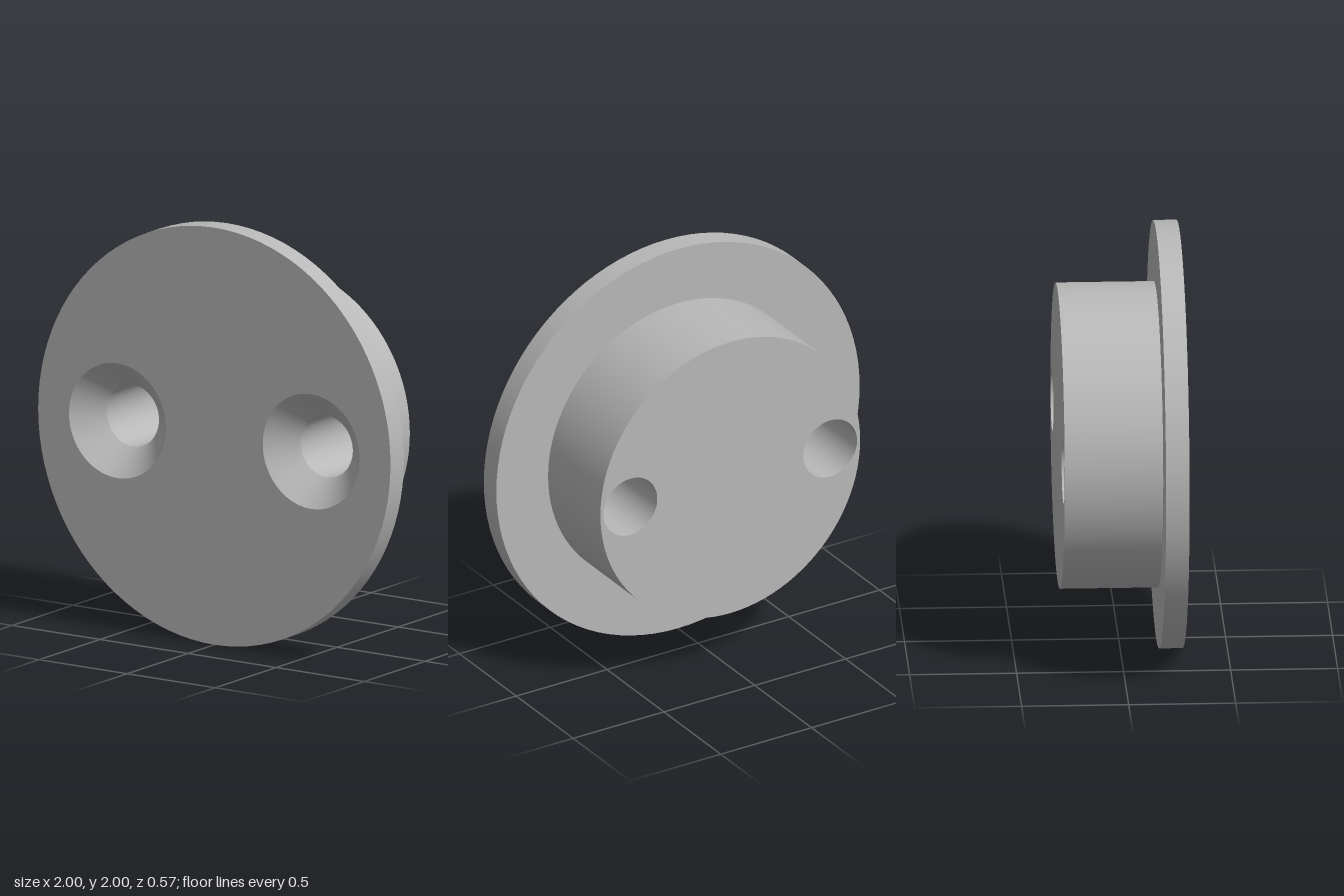
import * as THREE from 'three';

const SEG = 96;
const FRONT = 0.285, STEP = 0.175, BACK = -0.285; // z levels
const FLANGE_R = 1, BOSS_R = 0.715;
const HOLE_X = 0.55, BORE_R = 0.148, SINK_R = 0.275;
const SINK_END = FRONT - (SINK_R - BORE_R); // 90 degree countersink

export function createModel() {
  const group = new THREE.Group();
  const metal = new THREE.MeshStandardMaterial({ color: 0xb8b8b8 });
  metal.name = 'grey metal';

  const add = (name, geometry, x = 0, z = 0) => {
    const mesh = new THREE.Mesh(geometry, metal);
    mesh.name = name;
    mesh.position.set(x, 1, z);
    group.add(mesh);
  };

  // Band of revolution about z from [r0, z0] to [r1, z1]; rising z faces outward
  const band = (name, r0, z0, r1, z1, x = 0) => {
    const points = [new THREE.Vector2(r0, z0), new THREE.Vector2(r1, z1)];
    add(name, new THREE.LatheGeometry(points, SEG).rotateX(Math.PI / 2), x);
  };

  // Flat disc facing +z with the two screw openings
  const disc = (radius, holeRadius) => {
    const shape = new THREE.Shape().absarc(0, 0, radius, 0, Math.PI * 2);
    for (const side of [-1, 1]) {
      shape.holes.push(new THREE.Path().absarc(side * HOLE_X, 0, holeRadius, 0, Math.PI * 2, true));
    }
    return new THREE.ShapeGeometry(shape, SEG / 2);
  };

  // Flange
  add('flangeFront', disc(FLANGE_R, SINK_R), 0, FRONT);
  band('flangeRim', FLANGE_R, STEP, FLANGE_R, FRONT);
  band('flangeBack', BOSS_R, STEP, FLANGE_R, STEP);

  // Boss behind the flange
  band('bossWall', BOSS_R, BACK, BOSS_R, STEP);
  add('bossBack', disc(BOSS_R, BORE_R).rotateY(Math.PI), 0, BACK);

  // Countersunk screw holes, facing inward
  for (const [label, side] of [['left', 1], ['right', -1]]) {
    band(label + 'Countersink', SINK_R, FRONT, BORE_R, SINK_END, side * HOLE_X);
    band(label + 'Bore', BORE_R, SINK_END, BORE_R, BACK, side * HOLE_X);
  }
  return group;
}
